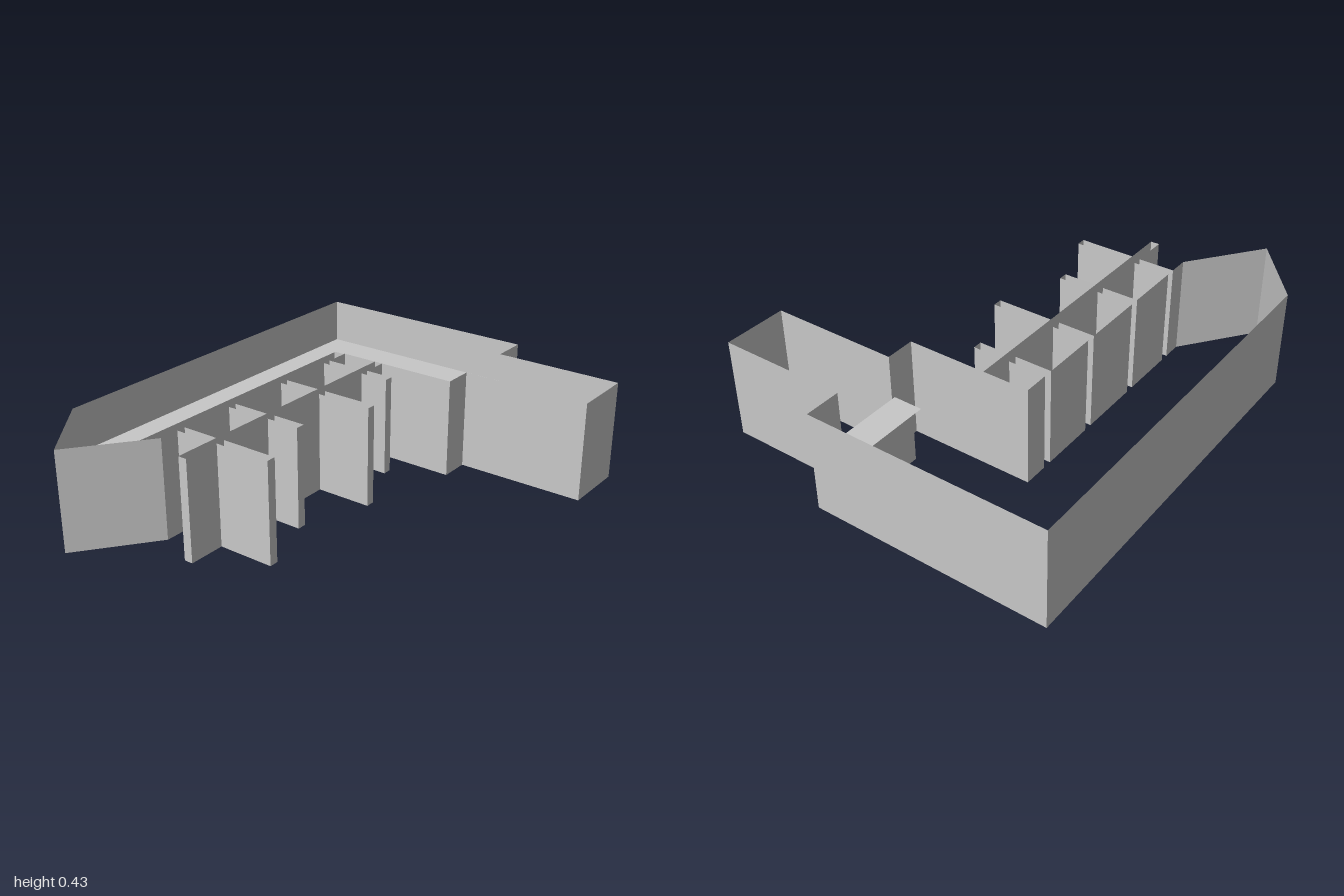
import * as THREE from 'three';

const H = 0.43;
const COUNTER = 0.235;

export function createModel() {
  const model = new THREE.Group();
  const grey = new THREE.MeshStandardMaterial({ color: 0xc8c8c8, side: THREE.DoubleSide });
  grey.name = 'plaster grey';

  const add = (name, geometry, y = 0) => {
    const mesh = new THREE.Mesh(geometry, grey);
    mesh.name = name;
    mesh.position.y = y;
    model.add(mesh);
  };

  // Upright sheet following a plan path of [x, z] points, open at top and bottom
  const wall = (name, path, height = H) => {
    const pos = [];
    for (let i = 0; i + 1 < path.length; i++) {
      const [ax, az] = path[i], [bx, bz] = path[i + 1];
      pos.push(ax, 0, az, bx, 0, bz, bx, height, bz);
      pos.push(ax, 0, az, bx, height, bz, ax, height, az);
    }
    const g = new THREE.BufferGeometry();
    g.setAttribute('position', new THREE.Float32BufferAttribute(pos, 3));
    g.computeVertexNormals();
    add(name, g);
  };

  // Outer shell: front porch, right wing, long back and pointed left end
  wall('outerWalls', [
    [0.438, 0.23], [0.566, 0.23], [0.566, 0.79], [0.845, 0.79], [0.845, 0.23],
    [1, 0.23], [1, -0.79], [-0.7, -0.79], [-1, -0.55], [-0.69, -0.315],
  ]);
  wall('porchSideWall', [[0.438, -0.315], [0.438, 0.23]]);

  // Long double wall in front of the bays
  wall('bayWall', [[0.438, -0.153], [-0.765, -0.153], [-0.765, -0.115], [0.438, -0.115]]);

  // Hollow dividers crossing the long wall: [x, front z, height of the front half]
  const dividers = [[-0.604, 0.13, 0.432], [-0.316, 0.03, 0.432], [0.003, 0.13, H], [0.291, 0.01, H]];
  let bayStart = -0.69;
  for (const [x, front, height] of dividers) {
    const x2 = x + 0.039;
    wall('dividerFront', [[x, -0.115], [x, front], [x2, front], [x2, -0.115]], height);
    wall('dividerRear', [[x, -0.153], [x, -0.315]]);
    wall('dividerRear', [[x2, -0.153], [x2, -0.315]]);
    // Rear panel of the bay before this divider
    wall('bayRear', [[bayStart, -0.315], [x, -0.315]]);
    bayStart = x2;
  }
  wall('bayRear', [[bayStart, -0.315], [0.438, -0.315]]);

  // Counter running along the back, right wing and front, with its base panels
  const top = [
    [-0.67, -0.79], [1, -0.79], [1, 0.23], [0.55, 0.23], [0.55, 0.1],
    [0.83, 0.1], [0.83, -0.18], [0.85, -0.18], [0.85, -0.685], [-0.67, -0.685],
  ];
  const shape = new THREE.Shape(top.map(([x, z]) => new THREE.Vector2(x, -z)));
  add('counterTop', new THREE.ShapeGeometry(shape).rotateX(-Math.PI / 2), COUNTER);
  wall('counterBase', [
    [-0.67, -0.79], [-0.67, -0.695], [0.855, -0.695], [0.855, 0.12], [0.575, 0.12], [0.575, 0.18],
  ], COUNTER);

  return model;
}
